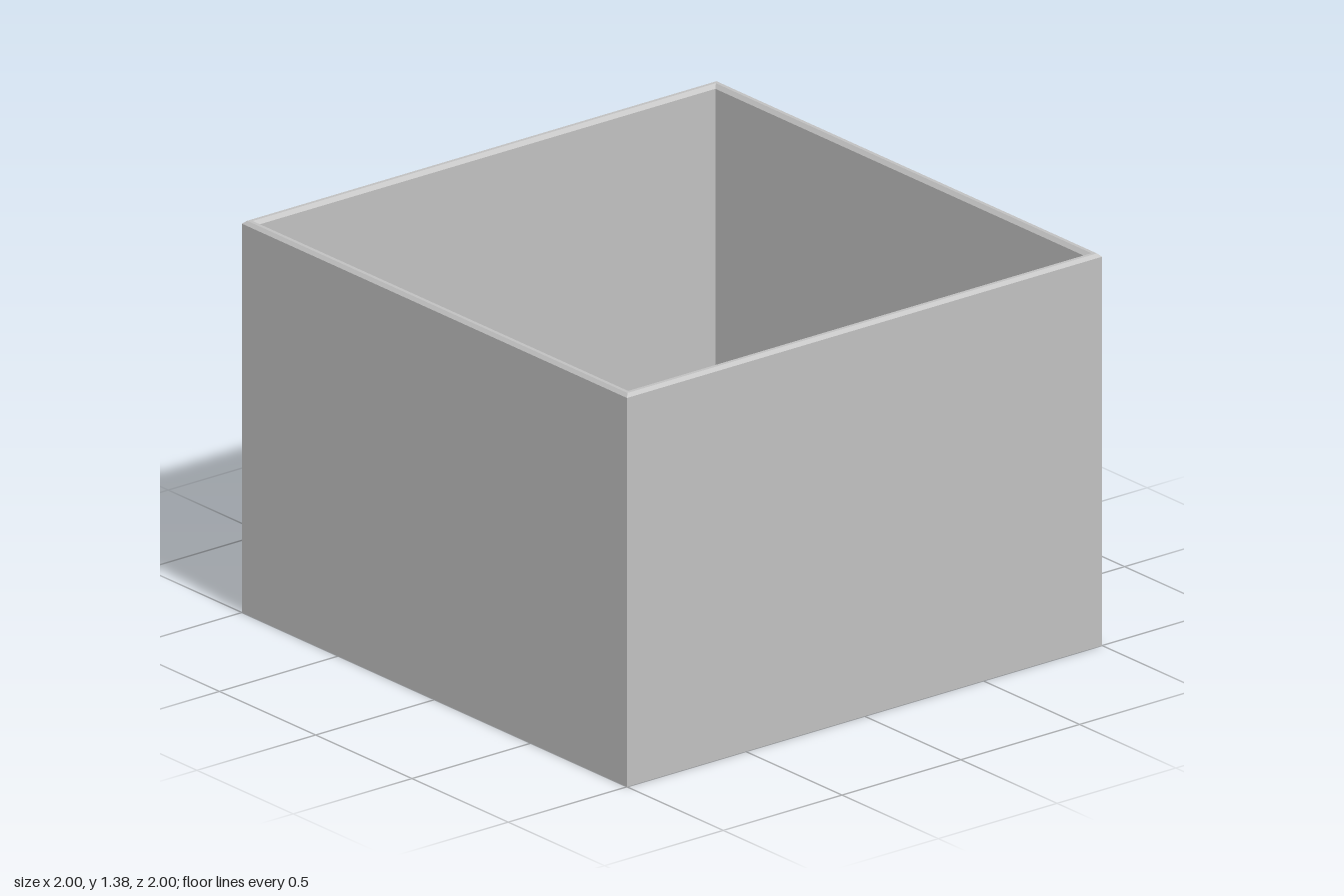
import * as THREE from 'three';

const WALL = 0.963;   // half width of the inside
const HOLE = 0.718;   // radius of the floor opening

// Square plate with a round opening, from height y0 to y1
function plate(name, half, radius, y0, y1, material) {
  const shape = new THREE.Shape([
    new THREE.Vector2(-half, -half), new THREE.Vector2(half, -half),
    new THREE.Vector2(half, half), new THREE.Vector2(-half, half),
  ]);
  shape.holes.push(new THREE.Path().absarc(0, 0, radius, 0, Math.PI * 2, true));
  const geometry = new THREE.ExtrudeGeometry(shape, {
    depth: y1 - y0, bevelEnabled: false, curveSegments: 96,
  });
  geometry.rotateX(-Math.PI / 2).translate(0, y0, 0);
  const mesh = new THREE.Mesh(geometry, material);
  mesh.name = name;
  return mesh;
}

// Sweep a wall section (half width, height) round a square
function squareShell(name, section, material) {
  const points = section.map(([half, y]) => new THREE.Vector2(half * Math.SQRT2, y));
  const geometry = new THREE.LatheGeometry(points, 4, Math.PI / 4).toNonIndexed();
  geometry.computeVertexNormals();
  const mesh = new THREE.Mesh(geometry, material);
  mesh.name = name;
  return mesh;
}

export function createModel() {
  const group = new THREE.Group();
  group.name = 'openBox';
  const grey = new THREE.MeshStandardMaterial({ color: 0xc0c0c0 });
  grey.name = 'light grey';

  // Four walls with a bevelled top rim and a shallow foot edge
  group.add(squareShell('walls', [
    [0.955, 0.01], [0.96, 0], [1, 0], [1, 1.367], [0.988, 1.378],
    [0.975, 1.378], [WALL, 1.365], [WALL, 0.12],
  ], grey));

  // Floor: slightly wider opening underneath, then slab and raised platform
  group.add(plate('openingLip', WALL, HOLE + 0.006, 0.008, 0.016, grey));
  group.add(plate('floor', WALL, HOLE, 0.016, 0.13, grey));
  group.add(plate('floorPlatform', 0.87, HOLE, 0.13, 0.27, grey));

  return group;
}
